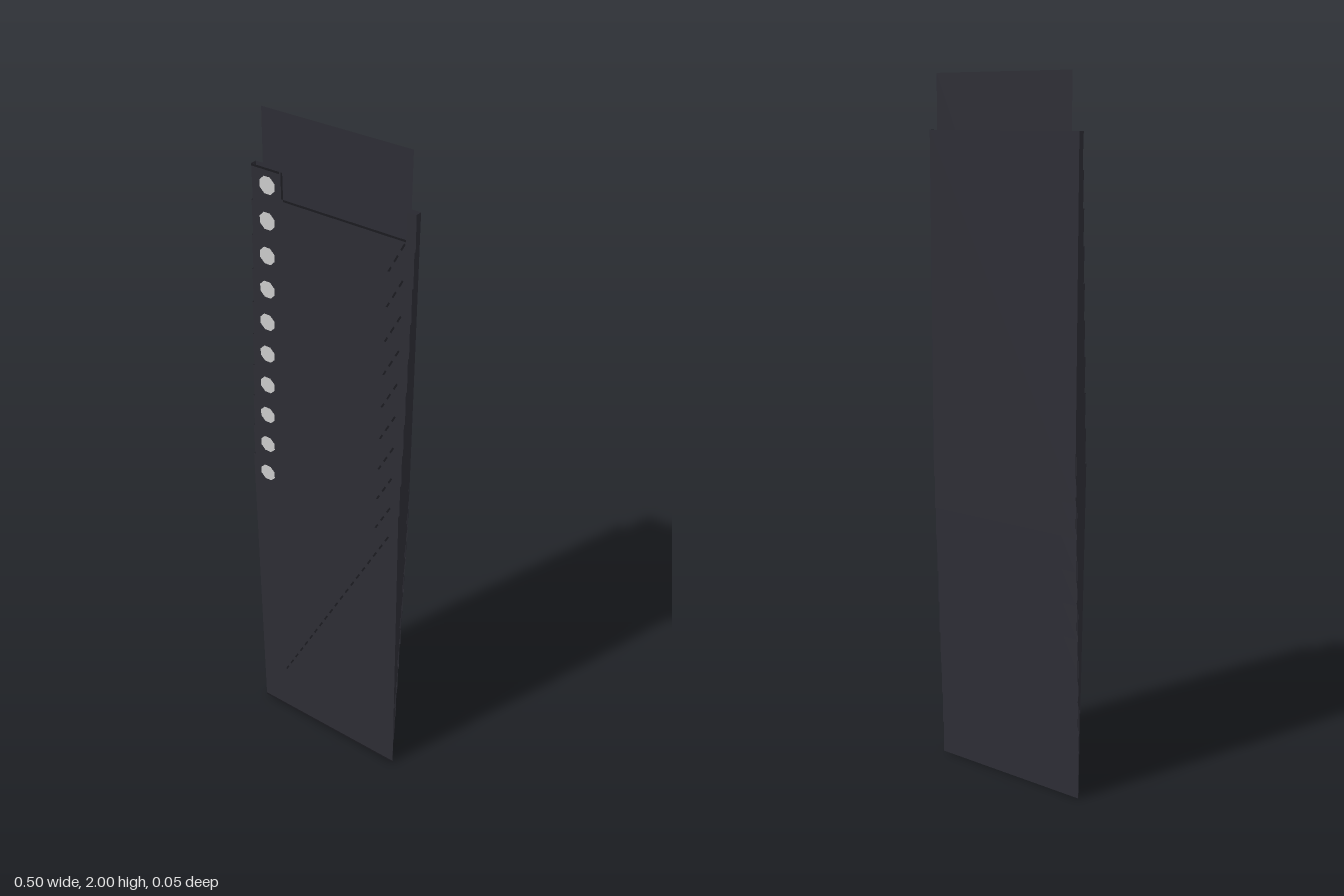
import * as THREE from 'three';

const COUNT = 10;      // overlapping pockets
const STEP = 0.097;    // vertical offset between pockets
const PITCH = 0.0035;  // depth offset between pockets
const W = 0.25;        // half width
const H = 0.977;       // pocket height
const OPEN = 0.0185;   // pocket mouth depth
const NOTCH = H - 0.073;

export function createModel() {
  const leather = new THREE.MeshStandardMaterial({ color: 0x2d2d35, side: THREE.DoubleSide });
  leather.name = 'darkLeather';
  const edge = new THREE.MeshStandardMaterial({ color: 0x1b1b20, side: THREE.DoubleSide });
  edge.name = 'darkEdge';
  const silver = new THREE.MeshStandardMaterial({ color: 0xcdcdcd, side: THREE.DoubleSide });
  silver.name = 'silver';

  const model = new THREE.Group();
  model.name = 'pocketOrganizer';

  const add = (parent, name, geometry, material, x = 0, y = 0, z = 0) => {
    const mesh = new THREE.Mesh(geometry, material);
    mesh.name = name;
    mesh.position.set(x, y, z);
    parent.add(mesh);
    return mesh;
  };

  // Front leaf: tab on one side, shallow cut across the mouth
  const leaf = new THREE.Shape();
  leaf.moveTo(-W, 0);
  leaf.lineTo(W, 0);
  leaf.lineTo(W, H);
  leaf.lineTo(0.222, H);
  leaf.lineTo(0.222, NOTCH);
  leaf.lineTo(-0.14, NOTCH);
  leaf.quadraticCurveTo(-0.15, NOTCH, -0.15, NOTCH + 0.012);
  leaf.lineTo(-0.15, H - 0.01);
  leaf.quadraticCurveTo(-0.15, H, -0.16, H);
  leaf.lineTo(-W, H);
  const leafGeo = new THREE.ShapeGeometry(leaf, 4);
  const backGeo = new THREE.PlaneGeometry(2 * W, H);

  // Side gusset: thin triangle between the two leaves
  const tri = new THREE.Shape();
  tri.moveTo(0, 0);
  tri.lineTo(-OPEN, H);
  tri.lineTo(0, H);
  const gussetGeo = new THREE.ShapeGeometry(tri).rotateY(Math.PI / 2);

  const dotGeo = new THREE.CircleGeometry(0.026, 8, Math.PI / 8);
  const from = new THREE.Vector2(0.22, NOTCH - 0.01);
  const to = new THREE.Vector2(-0.17, 0.15);
  const slant = Math.atan2(from.y - to.y, from.x - to.x);
  const dashGeo = new THREE.PlaneGeometry(0.022, 0.005);

  for (let i = 0; i < COUNT; i++) {
    const pocket = new THREE.Group();
    pocket.name = 'pocket' + (i + 1);
    pocket.position.set(0, (COUNT - 1 - i) * STEP, -0.027 + PITCH * i);
    model.add(pocket);

    add(pocket, 'backLeaf', backGeo, leather, 0, H / 2, 0);
    for (const s of [-1, 1]) add(pocket, 'sideGusset', gussetGeo, leather, s * W, 0, 0);

    const front = new THREE.Group();
    front.name = 'frontPanel';
    front.rotation.x = Math.atan(OPEN / H);
    pocket.add(front);
    add(front, 'frontLeaf', leafGeo, leather);
    add(front, 'indexDot', dotGeo, silver, -0.2, H - 0.047, 0.0012);

    // Diagonal stitching
    for (let k = 0; k < 20; k++) {
      const p = from.clone().lerp(to, (k + 0.3) / 20);
      add(front, 'stitch', dashGeo, edge, p.x, p.y, 0.0008).rotation.z = slant;
    }

    // Dark piping around the uppermost mouth
    if (i === 0) {
      const trim = (w, h, x, y) =>
        add(front, 'mouthTrim', new THREE.PlaneGeometry(w, h), edge, x, y, 0.0008);
      trim(0.372, 0.006, 0.036, NOTCH - 0.003);
      trim(0.006, H - NOTCH, -0.153, (H + NOTCH) / 2);
      trim(0.09, 0.006, -0.205, H - 0.003);
    }
    if (i === COUNT - 1) {
      add(front, 'bottomTrim', new THREE.PlaneGeometry(2 * W, 0.007), edge, 0, 0.0035, 0.0008);
    }
  }

  // Card standing in the uppermost pocket
  add(model, 'card', new THREE.PlaneGeometry(0.45, 1.05), leather, 0, 1.475, -0.0245);

  return model;
}
